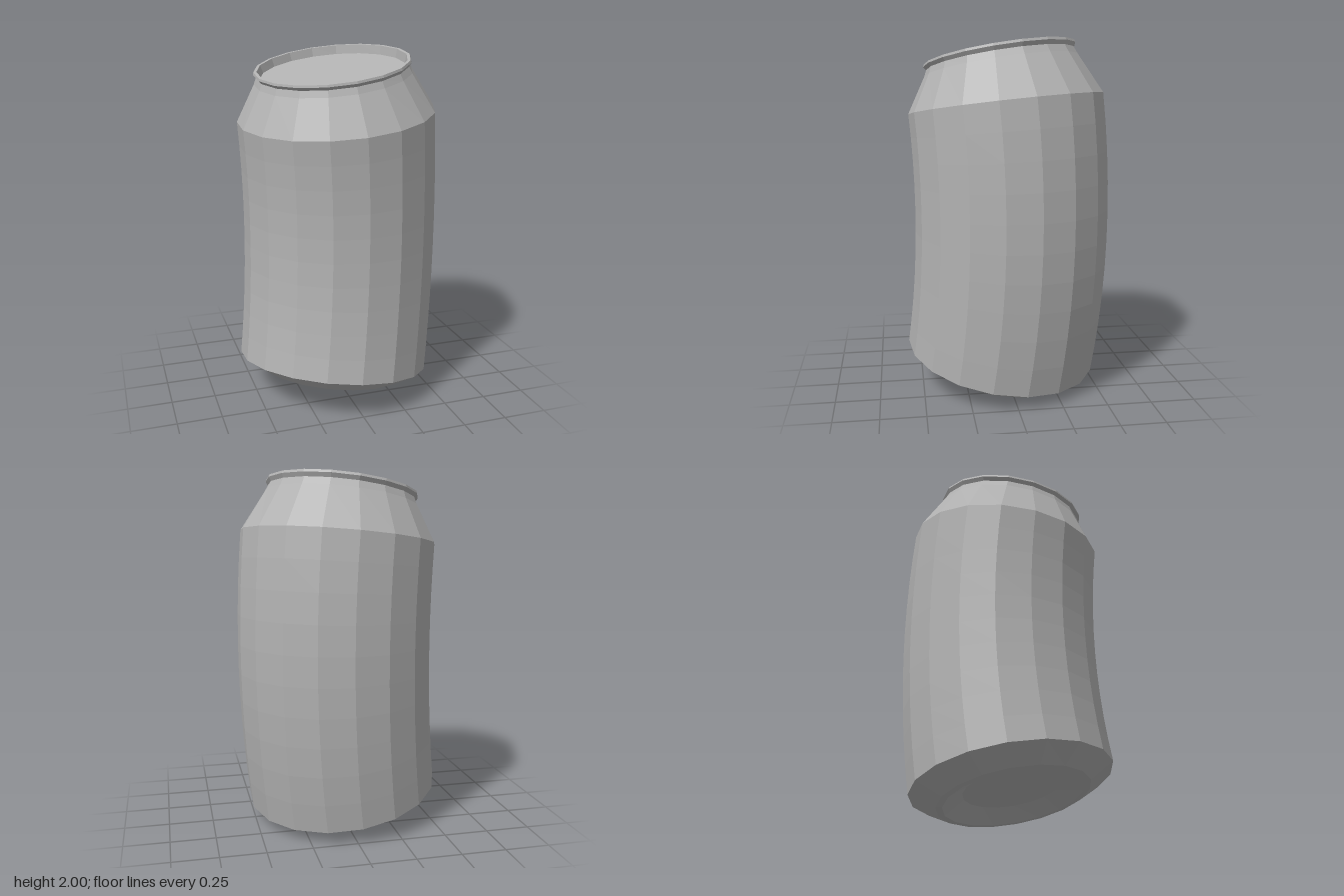
import * as THREE from 'three';

const SIDES = 18;
const BEND_RADIUS = 4.5;   // radius of the arc the can's axis follows
const MID_HEIGHT = 1.025;  // height where the axis is vertical
const MID_SHIFT = 0.042;   // sideways bulge of the middle
const D = Math.SQRT1_2;    // bulge direction is (D, 0, -D)

// Wrap an upright geometry around the bend arc
function bend(geometry) {
  const p = geometry.attributes.position;
  for (let i = 0; i < p.count; i++) {
    const x = p.getX(i), z = p.getZ(i);
    const along = (x - z) * D, across = (x + z) * D;
    const angle = p.getY(i) / BEND_RADIUS;
    const reach = BEND_RADIUS + along;
    const s = MID_SHIFT + reach * Math.cos(angle) - BEND_RADIUS;
    p.setXYZ(i, (s + across) * D, MID_HEIGHT + reach * Math.sin(angle), (across - s) * D);
  }
  return geometry;
}

export function createModel() {
  const metal = new THREE.MeshStandardMaterial({ color: 0xb2b2b2 });
  metal.name = 'grey metal';
  const can = new THREE.Group();
  can.name = 'bentCan';

  // Profiles are [radius, distance along the axis from the middle]
  function addPart(name, profile) {
    const points = profile.map(([r, v]) => new THREE.Vector2(r, v));
    const lathe = new THREE.LatheGeometry(points, SIDES, THREE.MathUtils.degToRad(-1.3));
    const geometry = bend(lathe).toNonIndexed();
    geometry.computeVertexNormals();
    const mesh = new THREE.Mesh(geometry, metal);
    mesh.name = name;
    can.add(mesh);
  }

  // Recessed base, standing ring and lower bevel
  addPart('base', [[0, -0.89], [0.27, -0.89], [0.385, -0.948], [0.42, -0.945], [0.555, -0.865]]);

  // Curved wall, in rows so that it bends smoothly
  const rows = 10, wall = [];
  for (let i = 0; i <= rows; i++) wall.push([0.555, THREE.MathUtils.lerp(-0.865, 0.613, i / rows)]);
  addPart('wall', wall);

  // Sloping shoulder, grooved neck and lip
  addPart('shoulder', [[0.555, 0.613], [0.438, 0.825]]);
  addPart('rim', [[0.438, 0.825], [0.422, 0.862], [0.436, 0.882], [0.432, 0.895], [0.415, 0.895], [0.402, 0.85]]);

  // Sunken lid
  addPart('lid', [[0.402, 0.85], [0, 0.85]]);

  return can;
}
